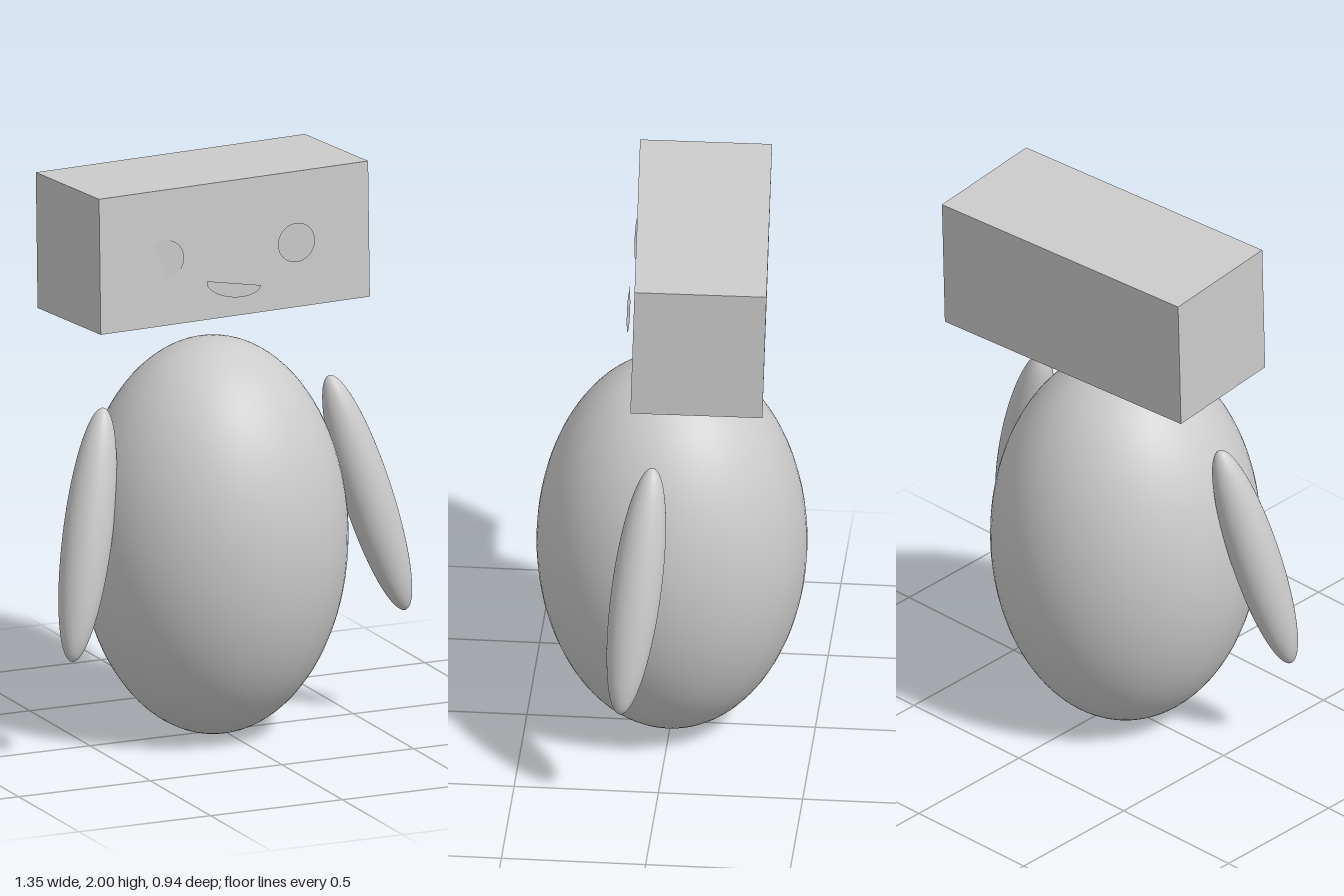
import * as THREE from 'three';

export function createModel() {
  const model = new THREE.Group();
  const grey = new THREE.MeshStandardMaterial({ color: 0xcccccc });
  const thin = new THREE.MeshStandardMaterial({ color: 0xcccccc, side: THREE.DoubleSide });
  const up = new THREE.Vector3(0, 1, 0);

  function add(name, geometry, position, material = grey) {
    const mesh = new THREE.Mesh(geometry, material);
    mesh.name = name;
    mesh.position.set(...position);
    model.add(mesh);
    return mesh;
  }

  // Smooth ellipsoid with a round cross-section
  const ellipsoid = (radius, halfHeight) =>
    new THREE.SphereGeometry(1, 64, 48).scale(radius, halfHeight, radius);

  // Egg-shaped body
  add('body', ellipsoid(0.468, 0.704), [-0.033, 0.705, 0]);

  // Arms hanging outward and a little forward, given by their long axis
  const arms = [
    ['leftArm', [0.518, 0.81, 0.075], [-0.28, 0.954, -0.105]],
    ['rightArm', [-0.555, 0.788, 0.1], [0.225, 1, -0.185]],
  ];
  for (const [name, position, axis] of arms) {
    const arm = add(name, ellipsoid(0.086, 0.442), position);
    arm.quaternion.setFromUnitVectors(up, new THREE.Vector3(...axis).normalize());
  }

  // Box head, floating above the body and slightly turned
  const head = add('head', new THREE.BoxGeometry(1.058, 0.482, 0.456), [-0.025, 1.752, -0.102]);
  head.rotation.set(-0.03, 0.07, 0);

  // Flat eyes
  const eye = new THREE.CircleGeometry(0.07, 48);
  add('leftEye', eye, [0.225, 1.752, 0.128], thin);
  add('rightEye', eye, [-0.28, 1.752, 0.146], thin);

  // Flat smiling mouth, straight along the top
  const smile = new THREE.Shape();
  smile.absellipse(0, 0, 0.107, 0.05, Math.PI, 2 * Math.PI, false);
  smile.closePath();
  const mouth = add('mouth', new THREE.ShapeGeometry(smile, 24), [-0.022, 1.64, 0.149], thin);
  mouth.rotation.set(0, 0.05, -0.19);

  return model;
}
